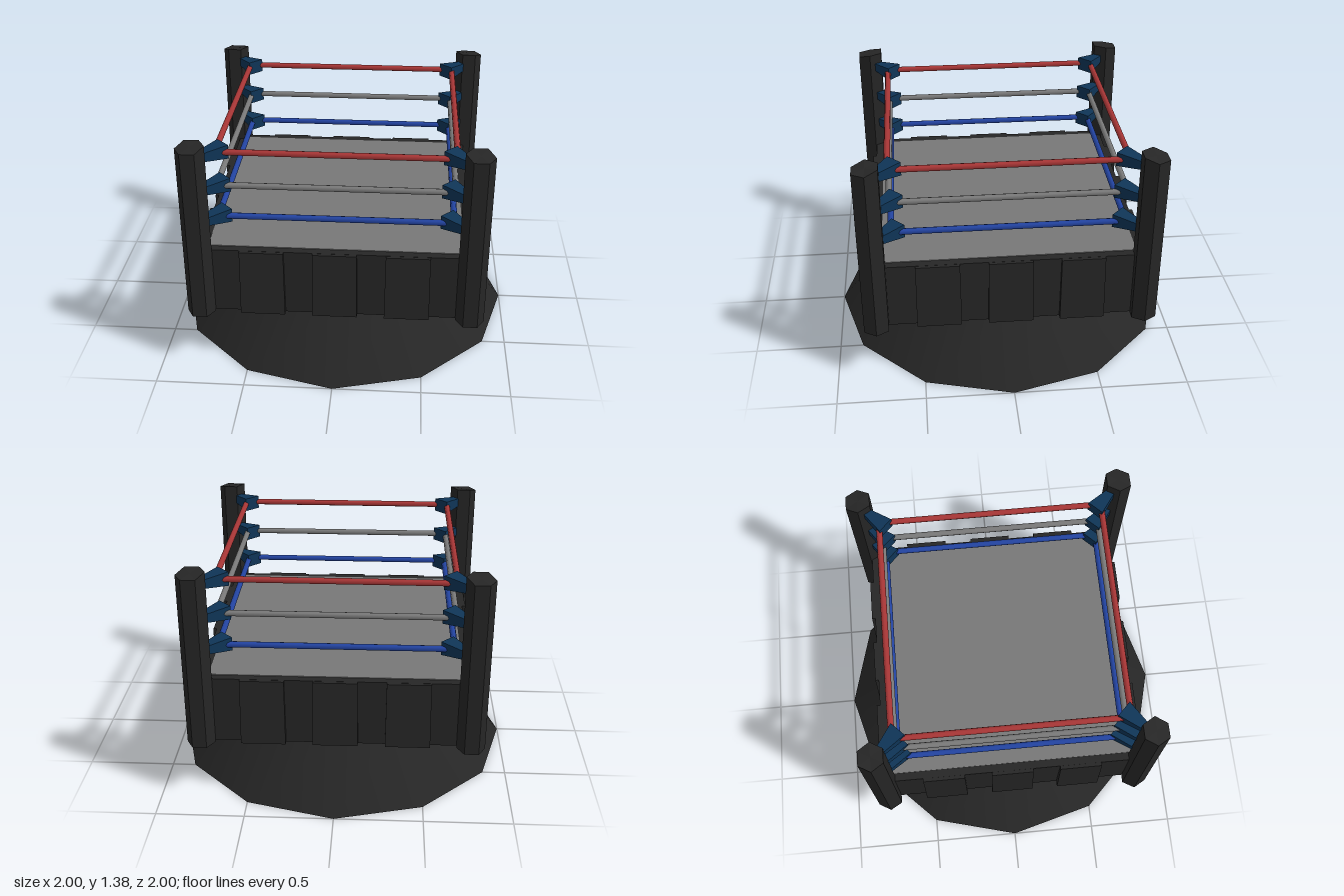
import * as THREE from 'three';

const mat = (name, color) => {
  const m = new THREE.MeshStandardMaterial({ color });
  m.name = name;
  return m;
};

// facet a geometry so every face has its own normal
function faceted(geometry) {
  const g = geometry.index ? geometry.toNonIndexed() : geometry;
  g.computeVertexNormals();
  return g;
}

function moveVertices(geometry, rule) {
  const p = geometry.attributes.position;
  const v = new THREE.Vector3();
  for (let i = 0; i < p.count; i++) {
    v.fromBufferAttribute(p, i);
    rule(v);
    p.setXYZ(i, v.x, v.y, v.z);
  }
  return geometry;
}

export function createModel() {
  const black = mat('black', 0x262626);
  const grey = mat('canvas grey', 0x777777);
  const red = mat('rope red', 0xa83636);
  const silver = mat('rope grey', 0x7a7a7a);
  const blue = mat('rope blue', 0x2344a2);
  const navy = mat('pad navy', 0x0f3557);

  const model = new THREE.Group();
  model.name = 'wrestlingRing';
  const add = (parent, name, geometry, material, x = 0, y = 0, z = 0) => {
    const mesh = new THREE.Mesh(geometry, material);
    mesh.name = name;
    mesh.position.set(x, y, z);
    parent.add(mesh);
    return mesh;
  };

  // flared twelve-sided base, platform and canvas
  add(model, 'base', new THREE.CylinderGeometry(0.72, 1, 0.35, 12), black, 0, 0.175, 0);
  add(model, 'platform', new THREE.BoxGeometry(1.51, 0.393, 1.51), black, 0, 0.5415, 0);
  add(model, 'canvas', new THREE.BoxGeometry(1.42, 0.008, 1.42), grey, 0, 0.738, 0);

  // skirt panel: its lower edge flares outwards
  const panel = faceted(moveVertices(new THREE.BoxGeometry(0.245, 0.39, 0.03), (v) => {
    if (v.y < 0) {
      v.x *= 1.03;
      if (v.z > 0) v.z += 0.015;
    }
  }));
  const ropeShape = new THREE.CylinderGeometry(0.018, 0.018, 1.28, 8).rotateZ(Math.PI / 2);
  const ropes = [
    ['topRope', 1.29, red],
    ['middleRope', 1.09, silver],
    ['bottomRope', 0.9, blue],
  ];

  // four sides, each with three skirt panels and three ropes
  for (let i = 0; i < 4; i++) {
    const side = new THREE.Group();
    side.name = 'side' + (i + 1);
    side.rotation.y = (i * Math.PI) / 2;
    for (const x of [-0.405, 0, 0.405]) add(side, 'skirtPanel', panel, black, x, 0.542, 0.76);
    for (const [name, y, m] of ropes) add(side, name, ropeShape, m, 0, y, 0.65);
    model.add(side);
  }

  // turnbuckle pad: runs along +z, wide at the ring end and narrow at the post
  const pad = faceted(moveVertices(new THREE.BoxGeometry(0.1, 0.08, 0.155), (v) => {
    if (v.z > 0) {
      v.x *= 0.45;
      v.y *= 0.6;
    }
  }));

  // corners: hexagonal post with a top sloping outwards, and three pads
  for (const sx of [-1, 1]) {
    for (const sz of [-1, 1]) {
      const corner = new THREE.Group();
      corner.name = (sz > 0 ? 'front' : 'back') + (sx > 0 ? 'Left' : 'Right') + 'Corner';
      const post = new THREE.CylinderGeometry(0.08, 0.08, 1.04, 6).rotateY(Math.PI / 2);
      moveVertices(post, (v) => {
        const out = sx * v.x + sz * v.z;
        if (v.y > 0 && out > 0.02) v.y -= 0.02;
        else if (v.y > 0 && out > -0.02) v.y -= 0.01;
      });
      add(corner, 'post', faceted(post), black, sx * 0.76, 0.855, sz * 0.76);
      for (const [, y] of ropes) {
        const p = add(corner, 'turnbucklePad', pad, navy, sx * 0.665, y, sz * 0.665);
        p.rotation.y = Math.atan2(sx, sz);
      }
      model.add(corner);
    }
  }
  return model;
}
